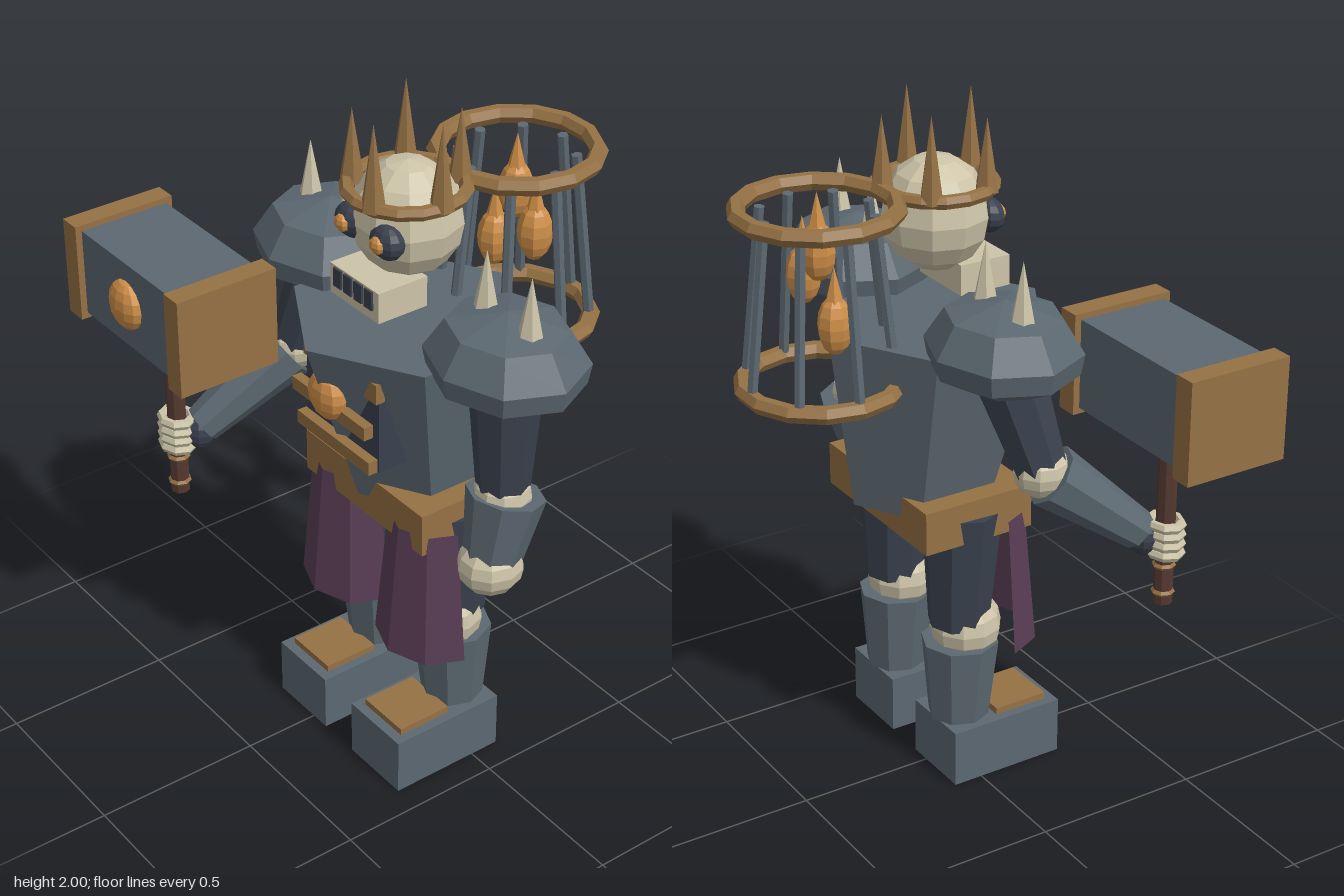
import * as THREE from 'three';

const mat = (name, color, side = THREE.FrontSide) => {
  const m = new THREE.MeshStandardMaterial({ color, side });
  m.name = name;
  return m;
};

export function createModel() {
  const steel = mat('steel', 0x5c6871);
  const dark = mat('darkIron', 0x3a414e);
  const gold = mat('bronze', 0x957144);
  const bone = mat('bone', 0xcdc4a8);
  const amber = mat('amber', 0xce8e47);
  const cloth = mat('purpleCloth', 0x5a3d55, THREE.DoubleSide);
  const wood = mat('handleWood', 0x553930);

  const model = new THREE.Group();
  const CX = 0.13; // body centre line

  // Faceted mesh: every face gets its own normal
  const add = (name, geo, material, x = 0, y = 0, z = 0) => {
    const g = geo.index ? geo.toNonIndexed() : geo;
    g.computeVertexNormals();
    const m = new THREE.Mesh(g, material);
    m.name = name;
    m.position.set(x, y, z);
    model.add(m);
    return m;
  };
  const box = (name, material, w, h, d, x, y, z) =>
    add(name, new THREE.BoxGeometry(w, h, d), material, x, y, z);
  const ball = (name, material, rx, ry, rz, x, y, z, ws = 10, hs = 8) =>
    add(name, new THREE.SphereGeometry(1, ws, hs).scale(rx, ry, rz), material, x, y, z);
  const spike = (name, material, r, y0, y1, x, z) =>
    add(name, new THREE.ConeGeometry(r, y1 - y0, 6), material, x, (y0 + y1) / 2, z);
  const ring = (name, material, r, tube, x, y, z, sides = 6, segs = 14) =>
    add(name, new THREE.TorusGeometry(r, tube, sides, segs).rotateX(Math.PI / 2), material, x, y, z);
  // Tapered limb from point a (radius ra) to point b (radius rb)
  const limb = (name, material, a, b, ra, rb, sides = 8) => {
    const A = new THREE.Vector3(...a), B = new THREE.Vector3(...b);
    const dir = A.clone().sub(B);
    const m = add(name, new THREE.CylinderGeometry(ra, rb, dir.length(), sides), material);
    m.position.copy(A).add(B).multiplyScalar(0.5);
    m.quaternion.setFromUnitVectors(new THREE.Vector3(0, 1, 0), dir.normalize());
    return m;
  };

  // Legs
  for (const s of [-1, 1]) {
    const x = CX - 0.003 + s * 0.178;
    box('foot', steel, 0.225, 0.175, 0.36, x, 0.0875, 0.09);
    box('footPlate', gold, 0.17, 0.02, 0.17, x, 0.185, 0.155);
    limb('shin', steel, [x, 0.42, -0.005], [x, 0.17, -0.01], 0.115, 0.09);
    ball('knee', bone, 0.105, 0.105, 0.105, x, 0.465, 0.015);
    limb('thigh', dark, [x, 0.85, 0], [x, 0.48, -0.01], 0.12, 0.09);
    add('skirtPanel',
      new THREE.CylinderGeometry(0.125, 0.165, 0.41, 4, 1, true, -Math.PI / 2, Math.PI).scale(1, 1, 0.88),
      cloth, x, 0.625, 0.078);
  }
  box('belt', gold, 0.54, 0.13, 0.35, CX - 0.005, 0.845, 0);

  // Torso: six sides, the top leaning forward
  const torso = new THREE.CylinderGeometry(0.34, 0.22, 0.53, 6);
  const tp = torso.attributes.position;
  for (let i = 0; i < tp.count; i++) tp.setZ(i, tp.getZ(i) + (tp.getY(i) > 0 ? 0.02 : -0.03));
  add('torso', torso, steel, CX - 0.005, 1.11, 0);

  // Chest plate with ribs and a glowing core
  box('chestPlate', dark, 0.33, 0.28, 0.2, CX, 1.17, 0.145);
  for (const [y, h, z] of [[1.055, 0.04, 0.265], [1.172, 0.04, 0.28], [1.28, 0.06, 0.24]])
    box('chestRib', gold, 0.33, h, 0.03, CX, y, z);
  ball('chestCore', amber, 0.072, 0.072, 0.04, CX - 0.005, 1.212, 0.292);

  // Shoulders
  const shoulderProfile = [[0, 1.3], [0.45, 1.305], [0.95, 1.365], [1, 1.425], [0.74, 1.515], [0, 1.555]];
  for (const s of [-1, 1]) {
    const x = CX + s * 0.39;
    const pts = shoulderProfile.map(([r, y]) => new THREE.Vector2(r, y));
    add('shoulder', new THREE.LatheGeometry(pts, 8).scale(0.238, 1, 0.21), steel, x, 0, 0);
    for (const d of [-0.09, 0.09]) spike('shoulderSpike', bone, 0.038, 1.51, 1.695, x + d, 0);
  }

  // Left arm, hanging
  limb('leftUpperArm', dark, [0.52, 1.38, 0], [0.52, 1.02, 0], 0.105, 0.075);
  ball('leftElbow', bone, 0.082, 0.082, 0.082, 0.52, 0.99, 0);
  limb('leftForearm', steel, [0.52, 0.985, -0.012], [0.52, 0.765, 0.035], 0.112, 0.078);
  ball('leftFist', bone, 0.092, 0.088, 0.095, 0.52, 0.77, 0.035);

  // Right arm, reaching forward
  const elbow = [-0.345, 1.07, 0.07], wrist = [-0.43, 0.845, 0.345];
  limb('rightUpperArm', dark, [-0.26, 1.38, 0], elbow, 0.105, 0.075);
  ball('rightElbow', bone, 0.08, 0.08, 0.08, ...elbow);
  limb('rightForearm', steel, [-0.353, 1.05, 0.095], wrist, 0.092, 0.058);
  ball('rightPalm', dark, 0.052, 0.06, 0.045, -0.435, 0.83, 0.355);

  // Hammer with gripping fingers
  const HX = -0.472, HZ = 0.405;
  limb('hammerHandle', wood, [HX, 1.2, HZ], [HX, 0.62, HZ], 0.028, 0.028);
  for (const y of [0.655, 0.74, 1.1]) ring('handleRing', gold, 0.026, 0.009, HX, y, HZ, 5, 8);
  for (let i = 0; i < 4; i++) {
    const f = ring('finger', bone, 0.05, 0.0155, HX, 0.785 + i * 0.029, HZ, 6, 8);
    f.scale.z = 0.85;
  }
  box('hammerHead', steel, 0.47, 0.265, 0.28, -0.47, 1.298, HZ);
  for (const x of [-0.732, -0.208]) box('hammerBand', gold, 0.066, 0.3, 0.32, x, 1.298, HZ);
  ball('hammerBoss', amber, 0.075, 0.075, 0.04, HX, 1.3, 0.545, 12, 8);

  // Skull
  const SZ = 0.028;
  ball('skull', bone, 0.16, 0.165, 0.153, CX, 1.675, SZ, 10, 8);
  box('jaw', bone, 0.215, 0.09, 0.16, CX + 0.002, 1.5, 0.125);
  for (let i = 0; i < 4; i++) box('toothGap', dark, 0.034, 0.055, 0.009, CX - 0.067 + i * 0.0455, 1.513, 0.207);
  for (const s of [-1, 1]) {
    const x = CX - 0.003 + s * 0.077;
    ball('eyeSocket', dark, 0.058, 0.05, 0.04, x, 1.667, 0.15);
    ball('eye', amber, 0.027, 0.025, 0.018, x, 1.667, 0.183, 8, 6);
  }

  // Crown
  ring('crownBand', gold, 0.16, 0.02, CX - 0.005, 1.76, SZ, 6, 16);
  [2.0, 2.0, 1.965, 2.0, 1.965].forEach((top, i) => {
    const a = (i * 2 * Math.PI) / 5;
    spike('crownSpike', gold, 0.036, 1.755, top, CX - 0.003 + 0.15 * Math.cos(a), SZ + 0.15 * Math.sin(a));
  });

  // Back cage
  const BZ = -0.343;
  for (const y of [1.755, 1.25]) ring('cageRing', gold, 0.22, 0.026, CX, y, BZ, 6, 14);
  for (let i = 0; i < 8; i++) {
    const a = (i * Math.PI) / 4, c = Math.cos(a), s = Math.sin(a);
    limb('cageBar', steel, [CX + 0.16 * c, 1.75, BZ + 0.16 * s], [CX + 0.215 * c, 1.25, BZ + 0.215 * s], 0.016, 0.016, 6);
  }
  // Caged flames
  for (const [x, y] of [[0.045, 1.45], [CX, 1.635], [0.215, 1.54]]) {
    ball('flame', amber, 0.05, 0.085, 0.05, x, y, BZ, 8, 8);
    spike('flameTip', amber, 0.03, y + 0.055, y + 0.17, x, BZ);
  }

  return model;
}
